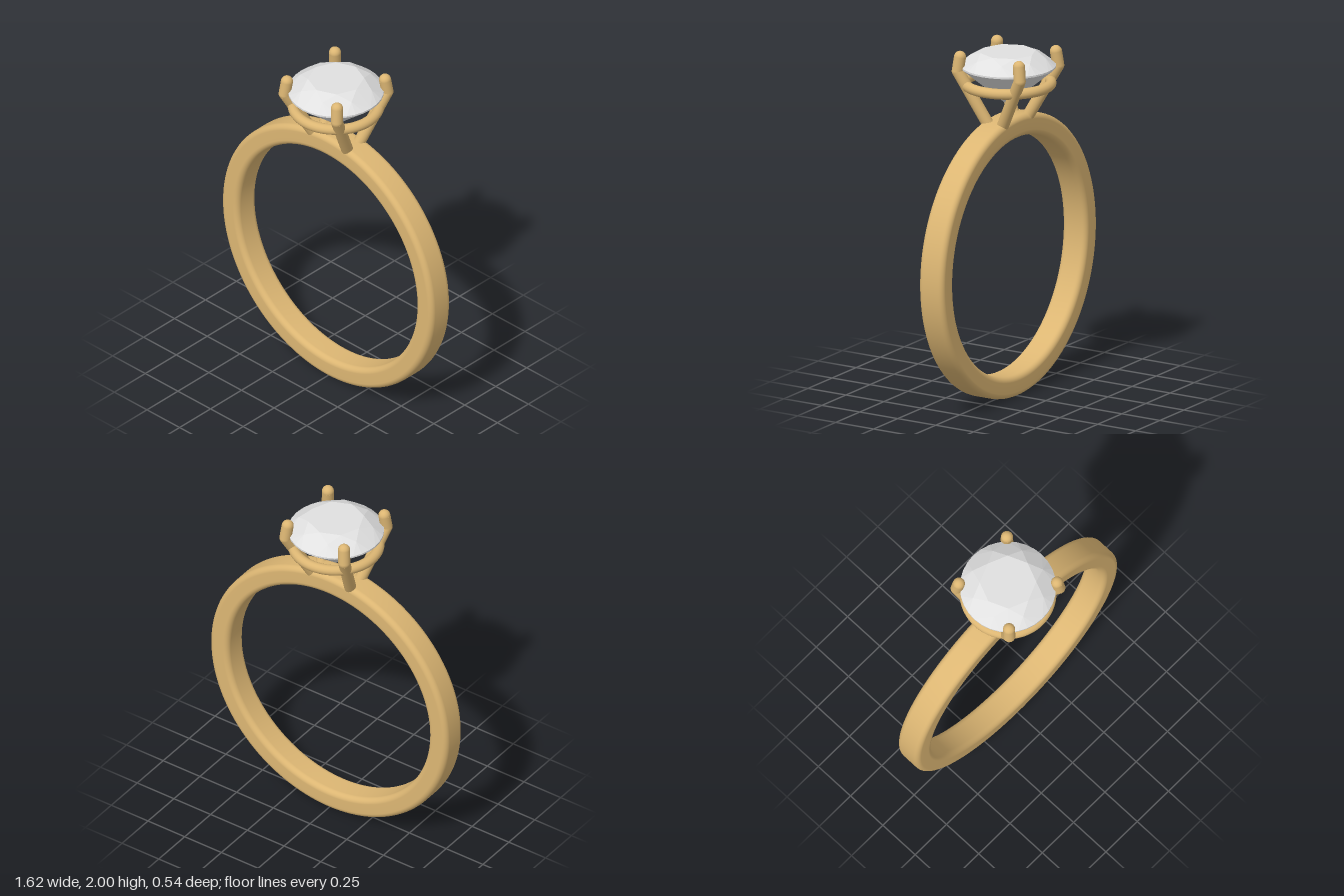
import * as THREE from 'three';

const gold = new THREE.MeshStandardMaterial({ color: 0xdcb673 });
gold.name = 'gold';
const crystal = new THREE.MeshStandardMaterial({ color: 0xe0e0e0, flatShading: true });
crystal.name = 'clear stone';

function add(parent, name, geometry, material) {
  const mesh = new THREE.Mesh(geometry, material);
  mesh.name = name;
  parent.add(mesh);
  return mesh;
}

// Rounded rectangular section swept round the finger hole
function bandGeometry(inner, outer, half, r) {
  const pts = [new THREE.Vector2(outer, 0)];
  const corners = [[outer - r, half - r], [inner + r, half - r], [inner + r, r - half], [outer - r, r - half]];
  corners.forEach(([cx, cy], i) => {
    for (let j = 0; j <= 6; j++) {
      const a = (i + j / 6) * Math.PI / 2;
      pts.push(new THREE.Vector2(cx + r * Math.cos(a), cy + r * Math.sin(a)));
    }
  });
  pts.push(pts[0].clone());
  return new THREE.LatheGeometry(pts, 128).rotateX(Math.PI / 2);
}

// Round-cut stone: table, star, kite and girdle facets over a pointed pavilion
function stoneGeometry() {
  const pos = [];
  const p = (r, y, k) => {
    const a = k * Math.PI / 16; // 32 steps per turn
    return new THREE.Vector3(r * Math.sin(a), y, r * Math.cos(a));
  };
  const tri = (...v) => v.forEach((q) => pos.push(q.x, q.y, q.z));
  const R = 0.268;
  const table = (k) => p(0.157, 1.98, k);
  const star = (k) => p(0.212, 1.953, k);
  const top = (k) => p(R, 1.905, k);
  const low = (k) => p(R, 1.895, k);
  const lower = (k) => p(0.075, 1.732, k);
  const centre = p(0, 1.98, 0), culet = p(0, 1.67, 0);
  for (let k = 0; k < 32; k += 4) {
    tri(centre, table(k), table(k + 4));
    tri(table(k), star(k + 2), table(k + 4));
    tri(table(k), star(k - 2), top(k));
    tri(table(k), top(k), star(k + 2));
    for (let j = k; j < k + 4; j++) {
      tri(star(k + 2), top(j), top(j + 1));
      tri(top(j), low(j), low(j + 1));
      tri(top(j), low(j + 1), top(j + 1));
      tri(lower(k + 2), low(j + 1), low(j));
    }
    tri(culet, lower(k + 2), low(k));
    tri(culet, low(k), lower(k - 2));
  }
  const g = new THREE.BufferGeometry();
  g.setAttribute('position', new THREE.Float32BufferAttribute(pos, 3));
  g.computeVertexNormals();
  return g;
}

// Straight round bar between two points
function addBar(parent, name, a, b, radius) {
  const dir = b.clone().sub(a);
  const bar = add(parent, name, new THREE.CylinderGeometry(radius, radius, dir.length(), 20), gold);
  bar.position.copy(a).lerp(b, 0.5);
  bar.quaternion.setFromUnitVectors(new THREE.Vector3(0, 1, 0), dir.normalize());
}

export function createModel() {
  const model = new THREE.Group();
  model.name = 'solitaireRing';

  const band = add(model, 'band', bandGeometry(0.683, 0.808, 0.08, 0.032), gold);
  band.position.y = 0.808;

  // Gallery ring under the stone
  const gallery = add(model, 'galleryRing', new THREE.TorusGeometry(0.24, 0.03, 16, 72).rotateX(Math.PI / 2), gold);
  gallery.position.y = 1.8;

  add(model, 'stone', stoneGeometry(), crystal);

  // Four bent prongs with round tips
  const r = 0.034;
  for (const sx of [-1, 1]) {
    for (const sz of [-1, 1]) {
      const prong = new THREE.Group();
      prong.name = (sz > 0 ? 'front' : 'back') + (sx > 0 ? 'Left' : 'Right') + 'Prong';
      const foot = new THREE.Vector3(sx * 0.128, 1.57, sz * 0.04);
      const bend = new THREE.Vector3(sx * 0.2, 1.885, sz * 0.204);
      const tip = new THREE.Vector3(sx * 0.192, 1.966, sz * 0.194);
      addBar(prong, 'prongLeg', foot, bend, r);
      addBar(prong, 'prongClaw', bend, tip, r);
      add(prong, 'prongBend', new THREE.SphereGeometry(r, 20, 14), gold).position.copy(bend);
      add(prong, 'prongTip', new THREE.SphereGeometry(r, 20, 14), gold).position.copy(tip);
      model.add(prong);
    }
  }
  return model;
}
